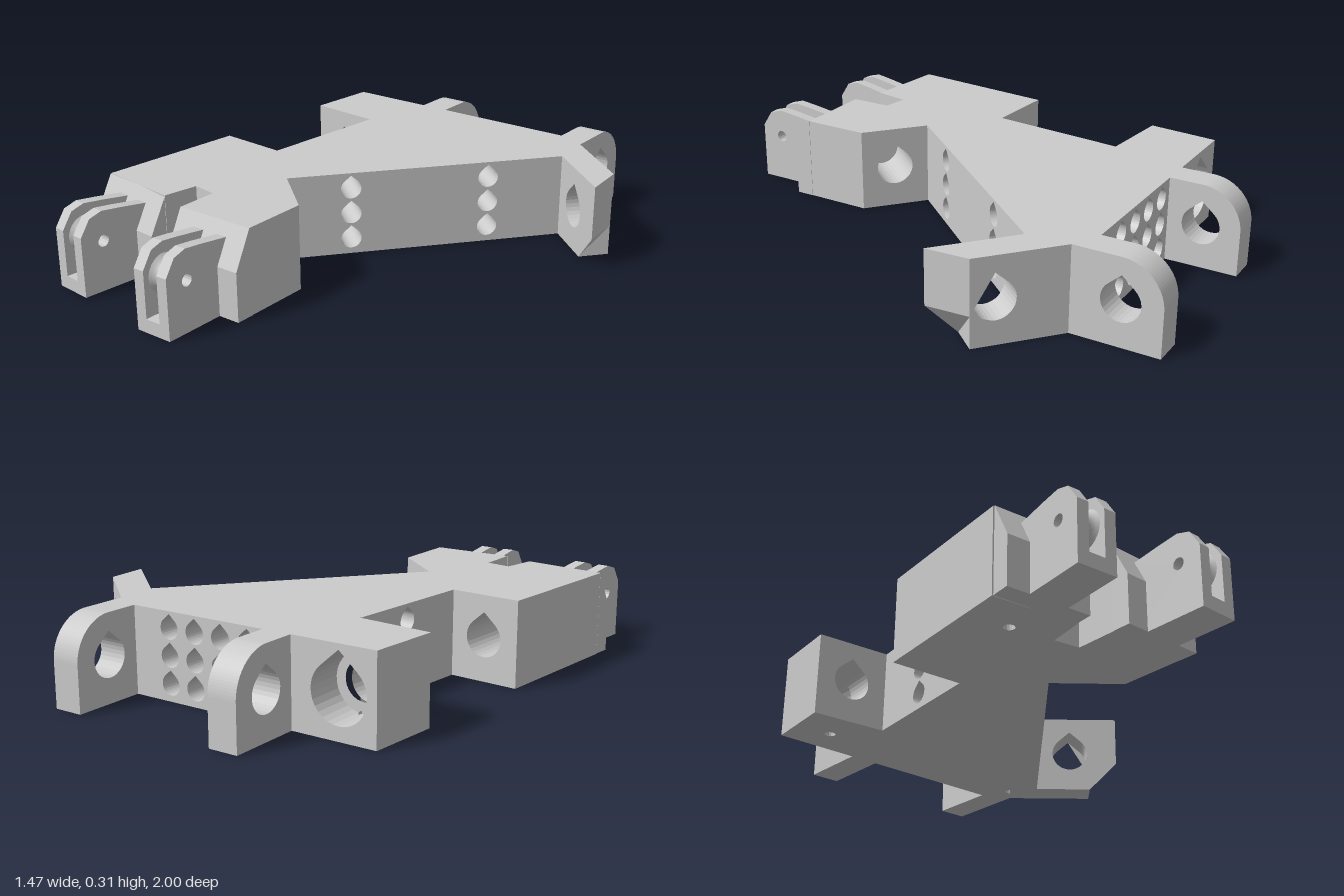
import * as THREE from 'three';
import { mergeGeometries } from 'three/addons/utils/BufferGeometryUtils.js';

const H = 0.315;
const mat = new THREE.MeshStandardMaterial({ color: 0xcccccc, flatShading: true });
const smooth = new THREE.MeshStandardMaterial({ color: 0xcccccc, side: THREE.DoubleSide });
const V2 = (x, y) => new THREE.Vector2(x, y);

function mesh(name, geo, material = mat) {
  const m = new THREE.Mesh(geo, material);
  m.name = name;
  return m;
}

// Teardrop outline: a circle with a pointed roof
function teardrop(x, y, r) {
  const pts = [];
  for (let i = 0; i <= 24; i++) {
    const a = THREE.MathUtils.degToRad(130 + (280 * i) / 24);
    pts.push(V2(x + r * Math.cos(a), y + r * Math.sin(a)));
  }
  pts.push(V2(x, y + r * 1.33));
  return pts;
}

function circle(x, y, r) {
  return Array.from({ length: 16 }, (_, i) => V2(x + r * Math.cos(i * Math.PI / 8), y + r * Math.sin(i * Math.PI / 8)));
}

function shapeOf(pts, holes = []) {
  const s = new THREE.Shape(pts);
  holes.forEach(h => s.holes.push(new THREE.Path(h)));
  return s;
}

// Flat face stripped to positions so it can be merged
function face(pts, holes) {
  const g = new THREE.ShapeGeometry(shapeOf(pts, holes)).toNonIndexed();
  g.deleteAttribute('uv');
  g.deleteAttribute('normal');
  return g;
}

// Inward-facing bore wall running from z = 0 to z = -depth
function bore(pts, depth) {
  const pos = [];
  pts.forEach((p, i) => {
    const q = pts[(i + 1) % pts.length];
    pos.push(p.x, p.y, -depth, q.x, q.y, 0, q.x, q.y, -depth);
    pos.push(p.x, p.y, -depth, p.x, p.y, 0, q.x, q.y, 0);
  });
  const g = new THREE.BufferGeometry();
  g.setAttribute('position', new THREE.Float32BufferAttribute(pos, 3));
  return g;
}

// A face with bores behind it; hole = { pts, depth, inner, open }
function drilledFace(pts, holes) {
  const parts = [face(pts, holes.map(h => h.pts))];
  for (const h of holes) {
    parts.push(bore(h.pts, h.depth));
    if (!h.open) parts.push(face(h.pts, h.inner ? [h.inner] : []).translate(0, 0, -h.depth));
  }
  return mergeGeometries(parts);
}

function buildBody() {
  // Plan outline as [x, z], counter-clockwise seen from above
  const plan = [[-0.743, 0.62], [-0.428, 0.66], [-0.405, 0.53], [-0.31, 0.545], [-0.31, 0.7], [0, 0.7],
    [0, 0.45], [-0.2, 0.28], [0.47, -0.52], [0.46, -0.68], [0.46, -0.73], [-0.63, -0.73],
    [-0.655, -0.465], [-0.375, -0.44], [-0.425, 0.075], [-0.69, 0.055]];
  const drop = (u, y, r, depth, extra) => ({ pts: teardrop(u, y, r), depth, ...extra });
  const column = (u, depth) => [0.06, 0.157, 0.255].map(y => drop(u, y, 0.038, depth));

  // Holes listed by the wall they start from
  const holes = {
    6: [drop(0.131, 0.16, 0.07, 0.22)],
    7: [...column(0.235, 0.25), ...column(0.756, 0.25)],
    10: [...[0.195, 0.085, -0.025, -0.135].flatMap(x => column(0.46 - x, 0.2)),
      drop(0.95, 0.155, 0.105, 0.14, { inner: teardrop(0.95, 0.16, 0.07) })],
    12: [drop(0.14, 0.16, 0.07, 0.13, { open: true })],
    13: column(0.25, 0.1),
    14: [drop(0.13, 0.16, 0.07, 0.45)],
  };

  const top = face(plan.map(([x, z]) => V2(x, -z))).rotateX(-Math.PI / 2).translate(0, H, 0);
  const screwHoles = [[0.41, -0.62], [-0.5, -0.6], [-0.57, 0.5]]
    .map(([x, z]) => ({ pts: circle(x, z, 0.02), depth: 0.06 }));
  const bottom = drilledFace(plan.map(([x, z]) => V2(x, z)).reverse(), screwHoles).rotateX(Math.PI / 2);

  const walls = plan.map((p, i) => {
    const q = plan[(i + 1) % plan.length];
    const dx = q[0] - p[0], dz = q[1] - p[1], len = Math.hypot(dx, dz);
    const g = drilledFace([V2(0, 0), V2(len, 0), V2(len, H), V2(0, H)], holes[i] || []);
    return g.rotateY(Math.atan2(-dz, dx)).translate(p[0], 0, p[1]);
  });
  const geo = mergeGeometries([top, bottom, ...walls]);
  geo.computeVertexNormals();
  return mesh('body', geo);
}

const extrude = (shape, depth) => new THREE.ExtrudeGeometry(shape, { depth, bevelEnabled: false, curveSegments: 12 });

// Rear hinge lug with rounded upper corner
function buildLug(x) {
  const s = new THREE.Shape();
  s.moveTo(0, 0);
  s.lineTo(0.27, 0);
  s.lineTo(0.27, 0.165);
  s.absarc(0.12, 0.165, 0.15, 0, Math.PI / 2, false);
  s.lineTo(0, H);
  s.holes.push(new THREE.Path(teardrop(0.125, 0.16, 0.07)));
  const lug = mesh('rearLug', extrude(s, 0.11));
  lug.rotation.y = Math.PI / 2;
  lug.position.set(x, 0, -0.73);
  return lug;
}

// Angled side arm, tapered at its tip and cut off below
function buildStrut() {
  const s = shapeOf([V2(0, 0), V2(0.333, 0), V2(0.445, 0.115), V2(0.445, H), V2(0, H)], [teardrop(0.25, 0.16, 0.072)]);
  const geo = extrude(s, 0.115);
  const p = geo.attributes.position;
  for (let i = 0; i < p.count; i++) {
    if (p.getZ(i) < 0.01) p.setX(i, Math.min(p.getX(i), 0.333));
  }
  geo.computeVertexNormals();
  const strut = mesh('sideArm', geo);
  strut.rotation.y = -0.707;
  strut.position.set(0.46, 0, -0.68);
  return strut;
}

// Side profile (z, y) extruded along x, centred on xc
function profileAlongX(name, pts, width, xc, holes) {
  const m = mesh(name, extrude(shapeOf(pts.map(([z, y]) => V2(z, y)), holes), width));
  m.rotation.y = -Math.PI / 2;
  m.position.x = xc + width / 2;
  return m;
}

// Chamfered nose carrying a forked roller holder
function buildFork(x, z, angle) {
  const g = new THREE.Group();
  g.name = 'forkEnd';
  g.add(profileAlongX('nose', [[-0.07, 0], [0, 0], [0, 0.18], [-0.07, H]], 0.313, 0));
  const prong = [[-0.05, 0], [0.23, 0], [0.23, 0.22], [0.19, 0.28], [0.14, 0.295], [0.07, 0.287], [-0.05, 0.27]];
  for (const side of [-1, 1]) {
    g.add(profileAlongX('prong', prong, 0.0425, side * 0.0513, [circle(0.14, 0.185, 0.022)]));
  }
  g.add(profileAlongX('forkFloor', [[-0.05, 0], [0.23, 0], [0.23, 0.05], [0.03, 0.05], [0.03, 0.23], [-0.05, 0.25]], 0.062, 0));

  // Hourglass roller between the prongs
  const pts = [];
  for (let i = 0; i <= 8; i++) {
    const t = i / 4 - 1;
    pts.push(V2(0.05 + 0.02 * t * t, 0.031 * t));
  }
  const roller = mesh('roller', new THREE.LatheGeometry(pts, 28), smooth);
  roller.rotation.z = Math.PI / 2;
  roller.position.set(0, 0.185, 0.14);
  g.add(roller);

  g.position.set(x, 0, z);
  g.rotation.y = angle;
  return g;
}

export function createModel() {
  const model = new THREE.Group();
  model.name = 'bracket';
  model.add(buildBody(), buildStrut());
  for (const x of [-0.31, 0.35]) model.add(buildLug(x));
  model.add(buildFork(-0.155, 0.77, 0), buildFork(-0.5925, 0.71, -0.1));
  return model;
}
